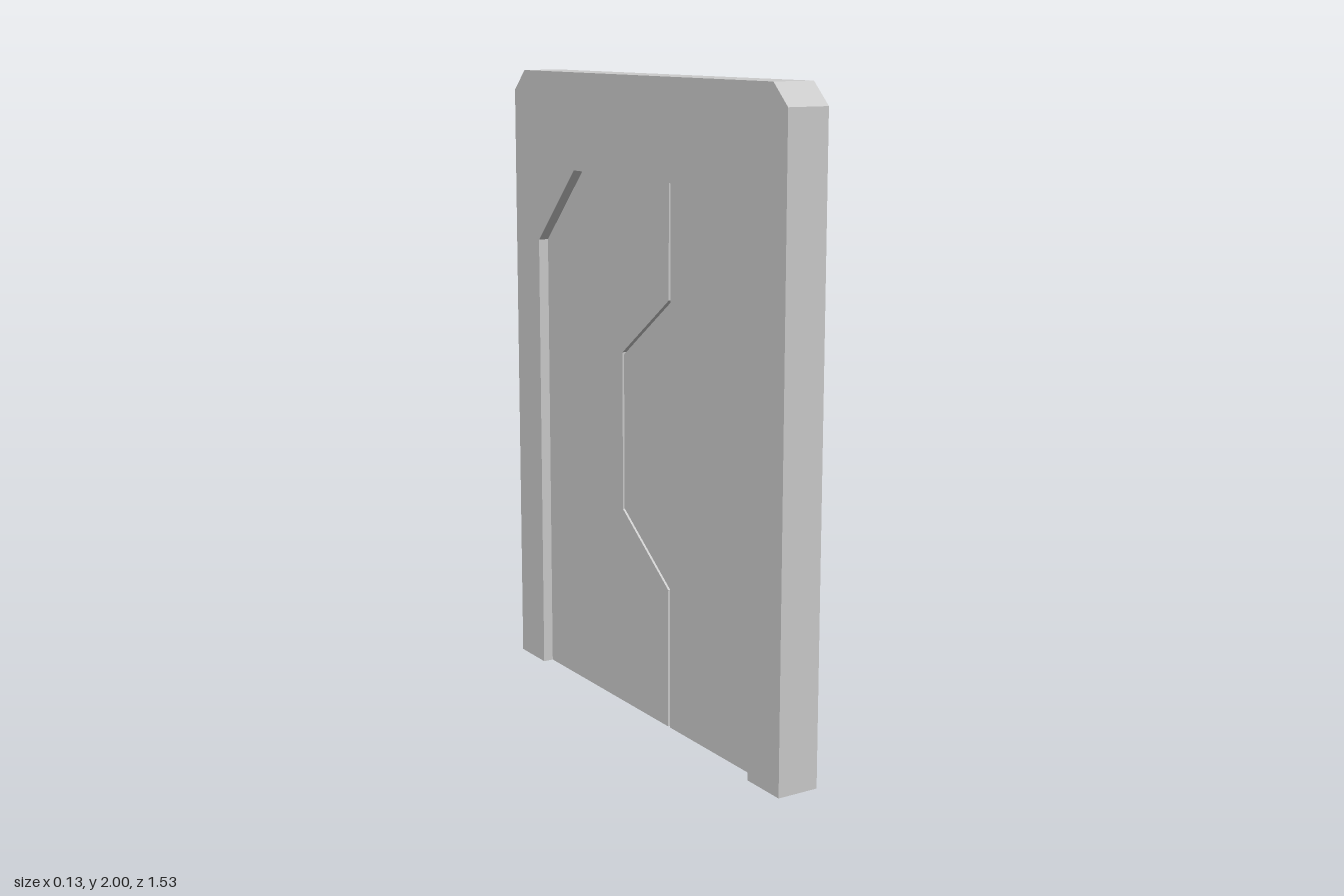
import * as THREE from 'three';

const FRAME_DEPTH = 0.134;
const DOOR_DEPTH = 0.067;

// Extrudes a side profile given as [-z, y] points, centred on x = 0
function extrudeProfile(points, depth) {
  const shape = new THREE.Shape(points.map(([u, y]) => new THREE.Vector2(u, y)));
  const geometry = new THREE.ExtrudeGeometry(shape, { depth, bevelEnabled: false });
  geometry.translate(0, 0, -depth / 2);
  geometry.rotateY(Math.PI / 2);
  return geometry;
}

// Leaves the shell open underneath by dropping triangles lying on the floor
function openBottom(geometry) {
  const p = geometry.getAttribute('position');
  const kept = [];
  for (let i = 0; i < p.count; i += 3) {
    const onFloor = [0, 1, 2].every((k) => Math.abs(p.getY(i + k)) < 1e-5);
    if (onFloor) continue;
    for (let k = 0; k < 3; k++) kept.push(new THREE.Vector3().fromBufferAttribute(p, i + k));
  }
  const open = new THREE.BufferGeometry().setFromPoints(kept);
  open.computeVertexNormals();
  return open;
}

const mirrored = (points) => points.map(([u, y]) => [-u, y]).reverse();

export function createModel() {
  const group = new THREE.Group();
  group.name = 'doorway';
  const material = new THREE.MeshStandardMaterial({
    color: 0xcccccc, flatShading: true, side: THREE.DoubleSide,
  });
  const add = (name, geometry) => {
    const mesh = new THREE.Mesh(geometry, material);
    mesh.name = name;
    group.add(mesh);
  };

  // Frame: chamfered slab with an arched opening down to the floor
  const outer = [[0.765, 0], [0.765, 1.935], [0.697, 2]];
  const opening = [[0.612, 0], [0.612, 1.453], [0.377, 1.695]];
  add('frame', openBottom(extrudeProfile(
    [...outer, ...mirrored(outer), ...opening.map(([u, y]) => [-u, y]), ...[...opening].reverse()],
    FRAME_DEPTH,
  )));

  // Door leaves: thin slabs reaching into the frame, split by a stepped seam
  const top = 1.75;
  const seam = [[-0.134, 0, 0], [-0.134, 0.445, -1], [0.134, 0.643, -1],
    [0.134, 1.142, 1], [-0.134, 1.338, 1], [-0.134, top, 0]];
  const gap = 0.005;
  for (const side of [1, -1]) {
    const edge = seam.map(([u, y, shift]) => [u + side * gap, y + side * shift * gap * 0.5]);
    const rim = [[0.4, top], [0.667, 1.476], [0.667, 0]].map(([u, y]) => [side * u, y]);
    add(side > 0 ? 'rearDoorLeaf' : 'frontDoorLeaf', extrudeProfile([...edge, ...rim], DOOR_DEPTH));
  }

  return group;
}
